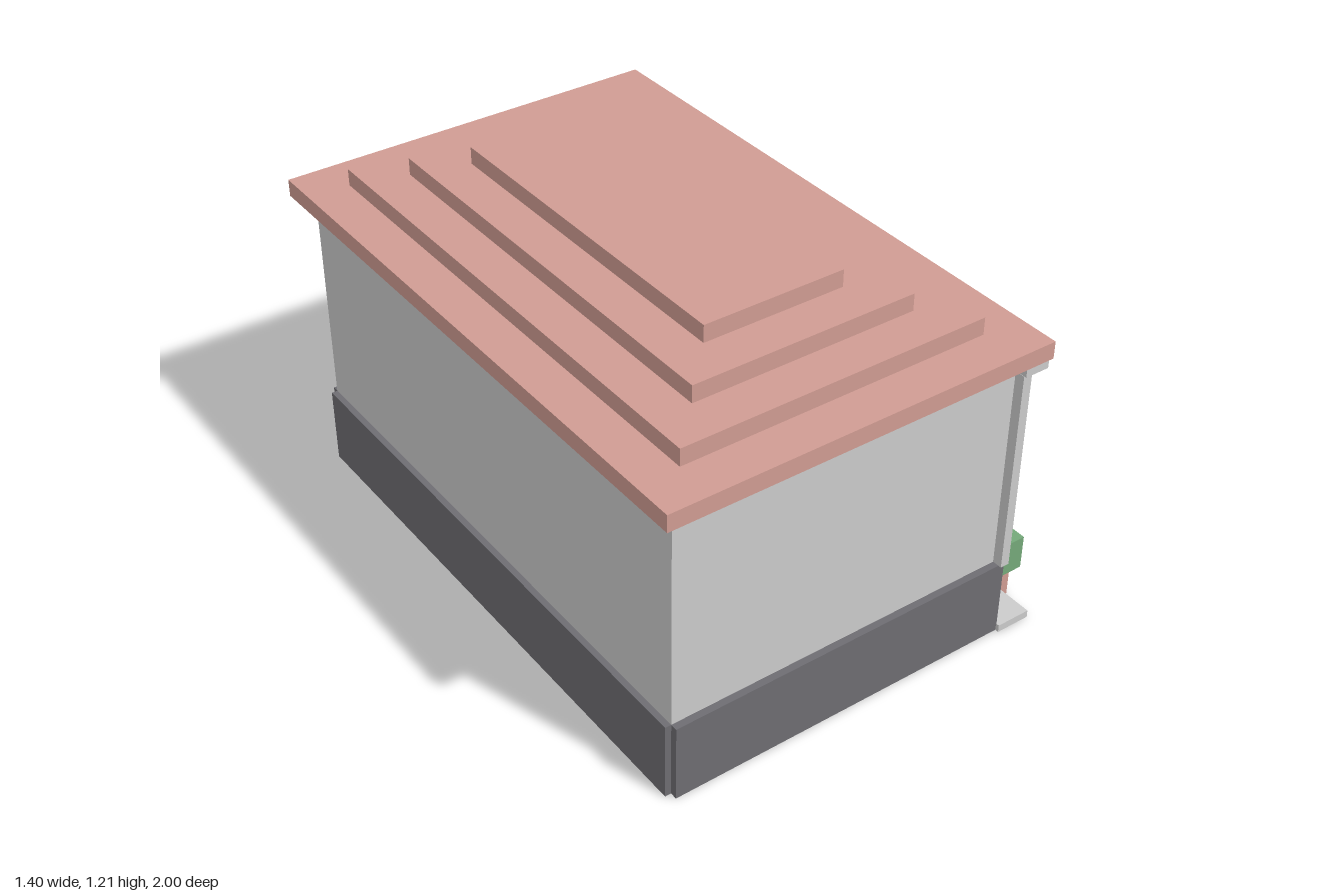
import * as THREE from 'three';

const grey = new THREE.MeshStandardMaterial({ color: 0xcccccc });
const dark = new THREE.MeshStandardMaterial({ color: 0x6e6d72 });
const clay = new THREE.MeshStandardMaterial({ color: 0xd09c93 });
const leaf = new THREE.MeshStandardMaterial({ color: 0x75a97a });

// Box given by its lower and upper limits on each axis
function block(name, material, [x0, x1], [y0, y1], [z0, z1]) {
  const mesh = new THREE.Mesh(new THREE.BoxGeometry(x1 - x0, y1 - y0, z1 - z0), material);
  mesh.position.set((x0 + x1) / 2, (y0 + y1) / 2, (z0 + z1) / 2);
  mesh.name = name;
  return mesh;
}

export function createModel() {
  const model = new THREE.Group();
  model.name = 'building';
  const centreX = -0.054;

  // Main walls
  model.add(block('walls', grey, [-0.643, 0.535], [0, 0.94], [-0.94, 0.94]));

  // Dark plinth along the rear wall
  model.add(block('rearPlinth', dark, [-0.663, -0.643], [0, 0.26], [-0.94, 0.94]));

  // Eave board and entrance step on the +x side
  model.add(block('eaveBoard', grey, [0.516, 0.598], [0.94, 0.985], [-0.98, 0.98]));
  model.add(block('step', grey, [0.535, 0.652], [0, 0.025], [-0.975, 0.975]));

  // Parts repeated at both ends
  for (const [side, s] of [['front', 1], ['back', -1]]) {
    const span = (a, b) => (s > 0 ? [a, b] : [-b, -a]);
    model.add(block(side + 'Plinth', dark, [-0.643, 0.537], [0, 0.26], span(0.94, 0.963)));
    model.add(block(side + 'CornerPost', grey, [0.515, 0.545], [0.26, 0.94], span(0.937, 0.973)));

    const planter = new THREE.Group();
    planter.name = side + 'Planter';
    planter.add(
      block('pot', clay, [0.56, 0.676], [0, 0.11], span(0.7, 0.86)),
      block('shrub', leaf, [0.537, 0.699], [0.11, 0.226], span(0.672, 0.881))
    );
    model.add(planter);
  }

  // Stepped roof: four shrinking slabs
  const roof = new THREE.Group();
  roof.name = 'roof';
  for (let i = 0; i < 4; i++) {
    const w = 0.646 - i * 0.137;
    const d = 1 - i * 0.138;
    const y = 0.985 + i * 0.056;
    roof.add(block('roofTier' + (i + 1), clay, [centreX - w, centreX + w], [y, y + 0.056], [-d, d]));
  }
  model.add(roof);

  return model;
}
